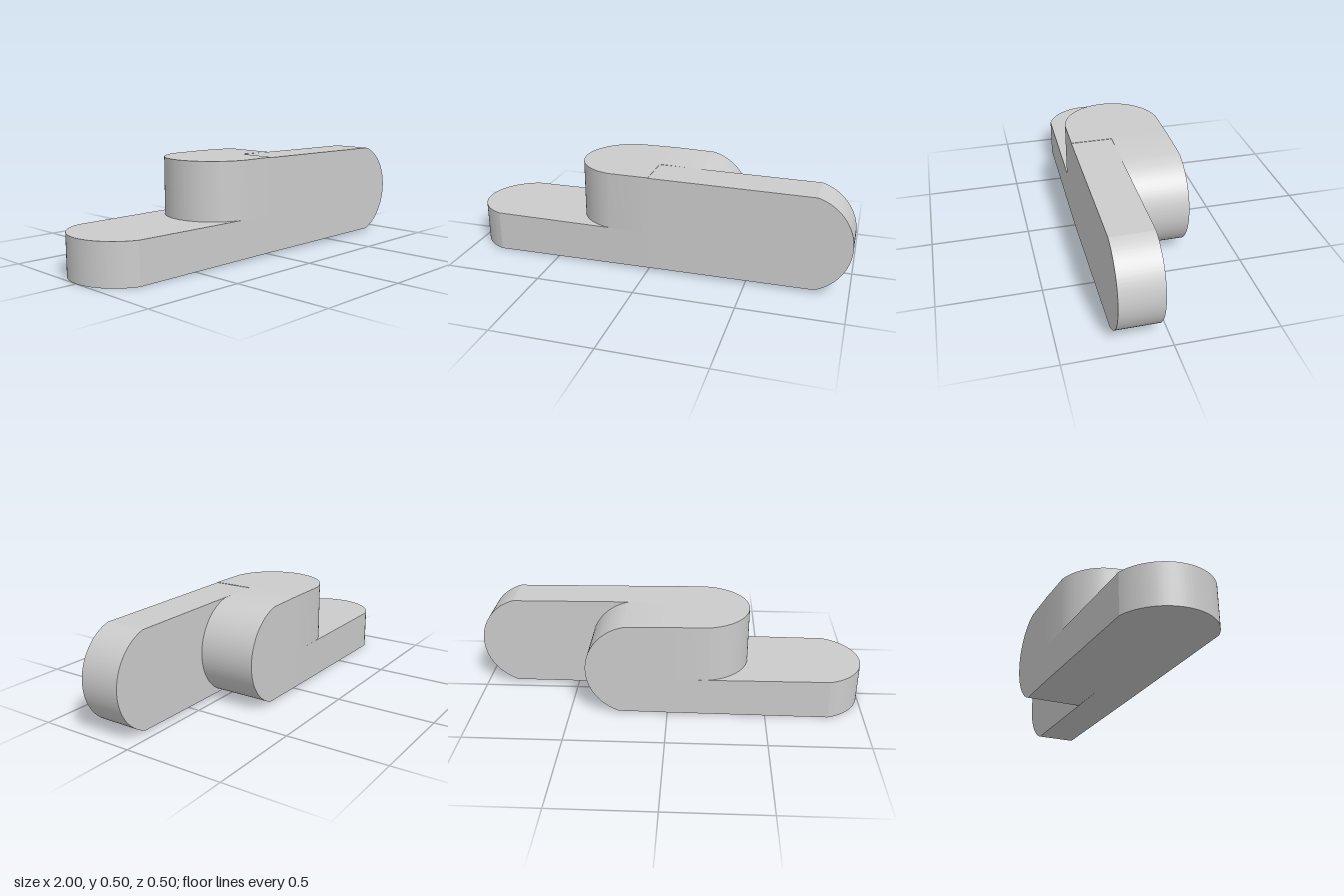
import * as THREE from 'three';
import { toCreasedNormals } from 'three/addons/utils/BufferGeometryUtils.js';

const R = 0.25;

// Half outline: starts flat at u = 0 and closes with an arc about (centre, 0)
function roundedArm(centre, base, end, depth) {
  const a0 = Math.asin(end[0] / R);
  const a1 = Math.asin(end[1] / R);
  const shape = new THREE.Shape();
  shape.moveTo(0, base[1]);
  shape.lineTo(0, base[0]);
  shape.lineTo(centre + R * Math.cos(a0), end[0]);
  shape.absarc(centre, 0, R, a0, a1, false);
  shape.closePath();
  return new THREE.ExtrudeGeometry(shape, { depth, bevelEnabled: false, curveSegments: 48 });
}

export function createModel() {
  const group = new THREE.Group();
  const material = new THREE.MeshStandardMaterial({ color: 0xcccccc });

  const add = (name, geometry) => {
    const mesh = new THREE.Mesh(toCreasedNormals(geometry, 0.2), material);
    mesh.name = name;
    group.add(mesh);
  };

  // Right half: outlines in elevation, extruded along z
  const upright = (name, centre, base, end, z0, z1) =>
    add(name, roundedArm(centre, base, end, z1 - z0).translate(0, R, z0));

  // Left half: outlines in plan, extruded upward; the underside rises gently to the middle
  const flat = (name, centre, base, end, y0, y1) => {
    const geometry = roundedArm(centre, base, end, y1 - y0)
      .rotateX(-Math.PI / 2).rotateY(Math.PI).translate(0, y0, 0);
    const p = geometry.attributes.position;
    for (let i = 0; i < p.count; i++) {
      if (p.getY(i) < 0.001) {
        p.setY(i, 0.012 * THREE.MathUtils.clamp((p.getX(i) + 0.82) / 0.82, 0, 1));
      }
    }
    add(name, geometry);
  };

  upright('frontUprightArm', 0.75, [-0.238, 0.248], [-0.235, 0.24], 0.042, 0.25);
  upright('backUprightArm', 0.162, [-0.238, 0.25], [-0.235, 0.245], -0.25, 0.042);
  flat('lowerFlatArm', 0.75, [-0.25, 0.25], [-0.24, 0.236], 0, 0.207);
  flat('upperFlatArm', 0.162, [-0.25, 0.25], [-0.247, 0.247], 0.207, 0.5);

  return group;
}
